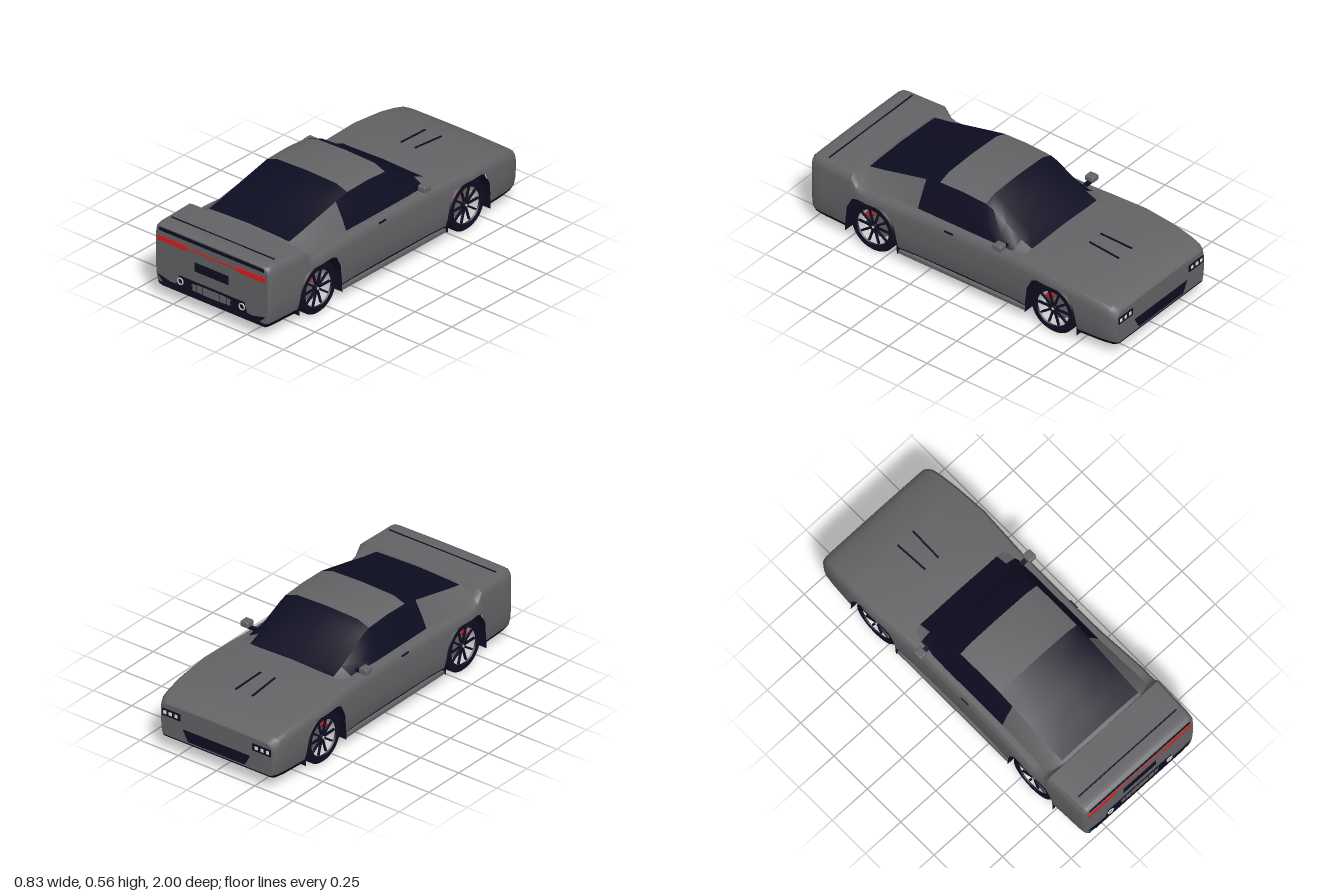
import * as THREE from 'three';
import { toCreasedNormals } from 'three/addons/utils/BufferGeometryUtils.js';
import { RoundedBoxGeometry } from 'three/addons/geometries/RoundedBoxGeometry.js';

const flat = (name, color, side = THREE.FrontSide) => {
  const m = new THREE.MeshStandardMaterial({ color, side });
  m.name = name;
  return m;
};

// Linear lookup in a list of [key, value] pairs
function look(table, t) {
  if (t <= table[0][0]) return table[0][1];
  for (let i = 1; i < table.length; i++) {
    const [a, va] = table[i - 1], [b, vb] = table[i];
    if (t <= b) return va + (vb - va) * (t - a) / (b - a);
  }
  return table[table.length - 1][1];
}

// Side outline of a wheel opening, relative to the axle
const ARCH = [[-0.17, 0.06], [-0.166, 0.14], [-0.155, 0.22], [-0.12, 0.285], [-0.085, 0.3],
  [0.085, 0.3], [0.12, 0.285], [0.155, 0.22], [0.166, 0.14], [0.17, 0.06]];
const AXLES = [-0.59, 0.585];

const WIDTH = [[-1, 0.365], [-0.985, 0.376], [-0.96, 0.386], [-0.9, 0.394], [-0.75, 0.405], [-0.6, 0.412],
  [-0.45, 0.402], [-0.3, 0.393], [0, 0.39], [0.3, 0.393], [0.45, 0.403], [0.6, 0.412], [0.72, 0.403],
  [0.85, 0.397], [0.93, 0.395], [0.97, 0.39], [0.985, 0.38]];
const TOP = [[-1, 0.28], [-0.985, 0.297], [-0.96, 0.31], [-0.9, 0.325], [-0.8, 0.342], [-0.6, 0.355],
  [-0.4, 0.36], [0.64, 0.36], [0.68, 0.378], [0.715, 0.43], [0.95, 0.431], [0.97, 0.428], [0.985, 0.418]];
const CROWN = [[-1, 0.003], [-0.8, 0.014], [-0.5, 0.014], [-0.35, 0.01], [0.7, 0.003], [1, 0.003]];
const BOTTOM = [[-1, 0.088], [-0.97, 0.072], [-0.9, 0.062], [0.9, 0.06], [0.96, 0.065], [0.985, 0.078]];
const TUCK = [[0.06, 0.9], [0.095, 0.962], [0.13, 0.985], [0.2, 1]];

// Half cross-section of the body, from the sill up to the centre line
function bodySection(z) {
  const w = look(WIDTH, z), t = look(TOP, z), c = look(CROWN, z);
  let low = look(BOTTOM, z);
  for (const a of AXLES) if (Math.abs(z - a) <= 0.17) low = Math.max(low, look(ARCH, z - a));
  const side = [0.06, 0.095, 0.13, 0.2, 0.24].map((y) => {
    const yy = Math.max(y, low);
    return [w * look(TUCK, yy), yy];
  });
  return [...side, [w, Math.max(t - 0.05, low)], [w - 0.006, Math.max(t - 0.02, low)],
    [w - 0.02, t - 0.004], [w - 0.045, t], [0.2, t + c * 0.6], [0.08, t + c], [0, t + c]];
}

// Skin mirrored half-sections along z, one mesh per material
function loft(name, zs, section, pick, capped) {
  const rings = zs.map((z) => {
    const half = section(z).map(([x, y]) => new THREE.Vector3(x, y, z));
    return [...half, ...half.slice(0, -1).reverse().map((p) => new THREE.Vector3(-p.x, p.y, z))];
  });
  const n = rings[0].length, bins = new Map(), e1 = new THREE.Vector3(), e2 = new THREE.Vector3();
  const tri = (mat, a, b, c) => {
    if (e1.subVectors(b, a).cross(e2.subVectors(c, a)).length() < 1e-9) return;
    if (!bins.has(mat)) bins.set(mat, []);
    bins.get(mat).push(a, b, c);
  };
  const quad = (mat, a, b, c, d) => { tri(mat, a, b, c); tri(mat, a, c, d); };
  for (let s = 0; s + 1 < rings.length; s++) {
    for (let i = 0; i + 1 < n; i++) {
      const row = Math.min(i, n - 2 - i);
      quad(pick(row, (zs[s] + zs[s + 1]) / 2), rings[s][i], rings[s][i + 1], rings[s + 1][i + 1], rings[s + 1][i]);
    }
  }
  if (capped) {
    const f = rings[0], r = rings[rings.length - 1];
    for (let j = 0; j < (n - 1) / 2; j++) {
      quad(pick(j, zs[zs.length - 1]), r[j], r[j + 1], r[n - 2 - j], r[n - 1 - j]);
      quad(pick(j, zs[0]), f[n - 1 - j], f[n - 2 - j], f[j + 1], f[j]);
    }
  }
  const g = new THREE.Group();
  g.name = name;
  for (const [mat, pts] of bins) {
    const mesh = new THREE.Mesh(toCreasedNormals(new THREE.BufferGeometry().setFromPoints(pts), 0.6), mat);
    mesh.name = name + ' ' + mat.name;
    g.add(mesh);
  }
  return g;
}

export function createModel() {
  const paint = flat('grey paint', 0x646467, THREE.DoubleSide);
  const dark = flat('dark trim and glass', 0x0d0d22, THREE.DoubleSide);
  const red = flat('red', 0xd82020);
  const silver = flat('silver', 0xc4c4c8, THREE.DoubleSide);
  const white = flat('lamp white', 0xf2f2f2);
  const car = new THREE.Group();
  car.name = 'car';
  const add = (name, geo, mat, x = 0, y = 0, z = 0, parent = car) => {
    const m = new THREE.Mesh(geo, mat);
    m.name = name;
    m.position.set(x, y, z);
    parent.add(m);
    return m;
  };
  const box = (name, mat, w, h, d, x, y, z, parent) => add(name, new THREE.BoxGeometry(w, h, d), mat, x, y, z, parent);
  const plate = (name, mat, pts, z) => add(name, new THREE.ExtrudeGeometry(
    new THREE.Shape(pts.map((p) => new THREE.Vector2(...p))), { depth: 0.004, bevelEnabled: false }), mat, 0, 0, z);

  // Body shell with wheel openings and dark lower edge
  const zs = [...new Set([...WIDTH, ...TOP, ...BOTTOM].map((p) => p[0])
    .concat(AXLES.flatMap((a) => ARCH.map((p) => +(a + p[0]).toFixed(4)))))]
    .filter((z) => z >= -1 && z <= 0.985).sort((a, b) => a - b);
  car.add(loft('body', zs, bodySection, (row) => (row === 0 ? dark : paint), true));

  // Cabin: windscreen, roof, rear window, side windows and rear pillars
  const height = [[-0.37, 0.374], [-0.3, 0.408], [-0.2, 0.478], [-0.12, 0.532], [-0.07, 0.553], [0.08, 0.561],
    [0.23, 0.556], [0.32, 0.536], [0.45, 0.5], [0.6, 0.457], [0.69, 0.435], [0.73, 0.425]];
  const drop = [[-0.37, 0.006], [-0.2, 0.022], [-0.07, 0.032], [0.32, 0.03], [0.69, 0.01], [0.73, 0.005]];
  const cabinSection = (z) => {
    const h = look(height, z), e = h - look(drop, z), b = look([[0.32, 0.346], [0.73, 0.362]], z);
    return [[b, 0.352], [b - 0.03, 0.352 + (e - 0.352) * 0.46], [0.272, e], [0.2, h - 0.006], [0, h]];
  };
  car.add(loft('cabin', height.map((p) => p[0]), cabinSection, (row, z) => {
    const glass = row < 2 ? z > -0.3 && z < 0.32 : z < -0.07 || (z > 0.23 && z < 0.69);
    return glass ? dark : paint;
  }, false));

  // Underside
  box('floor', dark, 0.72, 0.012, 0.83, 0, 0.064, -0.003);
  box('rear undertray', dark, 0.7, 0.008, 0.22, 0, 0.068, 0.86);
  box('nose undertray', dark, 0.7, 0.008, 0.21, 0, 0.074, -0.865);
  for (const z of AXLES) box('axle belly', paint, 0.5, 0.012, 0.34, 0, 0.1, z);

  // Tail: stripe, lamps, plate panel, diffuser and exhausts
  const tail = 0.986;
  box('tail stripe', dark, 0.71, 0.019, 0.005, 0, 0.404, tail);
  box('deck seam', dark, 0.7, 0.003, 0.008, 0, 0.434, 0.895);
  box('tail light bar', red, 0.36, 0.008, 0.005, 0, 0.351, tail);
  box('plate panel', dark, 0.228, 0.051, 0.005, 0, 0.262, tail);
  plate('diffuser', dark, [[-0.31, 0.08], [0.31, 0.08], [0.365, 0.135], [0.28, 0.115], [0.24, 0.118], [0.22, 0.174],
    [-0.22, 0.174], [-0.24, 0.118], [-0.28, 0.115], [-0.365, 0.135]], 0.9845);
  plate('diffuser centre', paint, [[-0.055, 0.117], [0.055, 0.117], [0.055, 0.162], [-0.055, 0.162]], 0.9865);
  for (const s of [-1, 1]) {
    box('tail light', red, 0.195, 0.03, 0.006, s * 0.268, 0.35, tail);
    plate('diffuser vent', paint, [[s * 0.06, 0.118], [s * 0.1, 0.12], [s * 0.1, 0.161], [s * 0.06, 0.162]], 0.9865);
    plate('diffuser outer vent', paint, [[s * 0.105, 0.12], [s * 0.13, 0.122], [s * 0.125, 0.138], [s * 0.135, 0.154],
      [s * 0.105, 0.16]], 0.9865);
    add('exhaust ring', new THREE.TorusGeometry(0.0175, 0.004, 8, 24), silver, s * 0.209, 0.145, 0.991);
  }

  // Nose: grille and headlights
  plate('grille', dark, [[-0.185, 0.105], [0.185, 0.105], [0.22, 0.168], [-0.22, 0.168]], -1.0025);
  for (const s of [-1, 1]) {
    box('headlight panel', dark, 0.12, 0.042, 0.005, s * 0.295, 0.23, -1);
    for (const x of [0.262, 0.3, 0.336]) box('headlight lamp', white, 0.02, 0.02, 0.004, s * x, 0.23, -1.002);
  }

  // Hood slots, mirrors, handles and sills
  for (const s of [-1, 1]) {
    const slot = box('hood slot', dark, 0.01, 0.006, 0.2, s * 0.051, 0.366, -0.67);
    slot.rotation.set(-0.06, -s * 0.04, 0);
    box('mirror arm', dark, 0.05, 0.012, 0.025, s * 0.355, 0.378, -0.25);
    add('mirror', new RoundedBoxGeometry(0.052, 0.034, 0.055, 2, 0.008), paint, s * 0.388, 0.394, -0.247);
    box('door handle', dark, 0.008, 0.009, 0.055, s * 0.387, 0.333, 0.085);
    box('sill', paint, 0.022, 0.018, 0.83, s * 0.378, 0.071, -0.003);
  }

  // Wheels and wheel wells
  const tyre = new THREE.LatheGeometry([[0.1, -0.05], [0.134, -0.053], [0.145, -0.042], [0.145, 0.042], [0.134, 0.053],
    [0.106, 0.052], [0.101, 0.044]].map((p) => new THREE.Vector2(...p)), 48);
  const tyreGeo = toCreasedNormals(tyre, 0.7);
  const caliperGeo = new THREE.TorusGeometry(0.068, 0.017, 8, 10, 1.05).rotateZ(0.45).rotateY(-Math.PI / 2);
  const wellWall = new THREE.ShapeGeometry(new THREE.Shape(ARCH.map((p) => new THREE.Vector2(...p)))).rotateY(-Math.PI / 2);
  for (const z of AXLES) {
    for (const s of [-1, 1]) {
      const wheel = new THREE.Group();
      wheel.name = 'wheel';
      wheel.position.set(s * 0.332, 0.145, z);
      const spin = new THREE.Group();
      spin.name = 'rim';
      spin.rotation.z = -s * Math.PI / 2;
      wheel.add(spin);
      car.add(wheel);
      add('tyre', tyreGeo, dark, 0, 0, 0, spin);
      add('rim barrel', new THREE.CylinderGeometry(0.102, 0.092, 0.09, 40, 1, true), silver, 0, 0, 0, spin);
      add('rim back', new THREE.CylinderGeometry(0.093, 0.093, 0.008, 40), paint, 0, -0.035, 0, spin);
      add('brake disc', new THREE.CylinderGeometry(0.08, 0.08, 0.01, 32), paint, 0, -0.002, 0, spin);
      add('hub', new THREE.CylinderGeometry(0.018, 0.024, 0.02, 20), dark, 0, 0.036, 0, spin);
      add('hub cap', new THREE.CylinderGeometry(0.008, 0.008, 0.004, 16), silver, 0, 0.047, 0, spin);
      for (let k = 0; k < 10; k++) {
        const a = (k + 0.5) * Math.PI / 5;
        const spoke = box('spoke', dark, 0.088, 0.01, 0.011, Math.cos(a) * 0.06, 0.038, -Math.sin(a) * 0.06, spin);
        spoke.rotation.y = a;
      }
      add('brake caliper', caliperGeo, red, s * 0.01, 0, 0, wheel);
      // Liner follows the opening
      const liner = new THREE.PlaneGeometry(0.14, 1, 1, ARCH.length - 1), p = liner.attributes.position;
      for (let i = 0; i < p.count; i++) {
        const [dz, y] = ARCH[Math.floor(i / 2)];
        p.setXYZ(i, s * (0.25 + (i % 2) * 0.148), y, z + dz);
      }
      liner.computeVertexNormals();
      add('wheel well liner', liner, dark);
      add('wheel well wall', wellWall, dark, s * 0.25, 0, z);
    }
  }
  return car;
}
